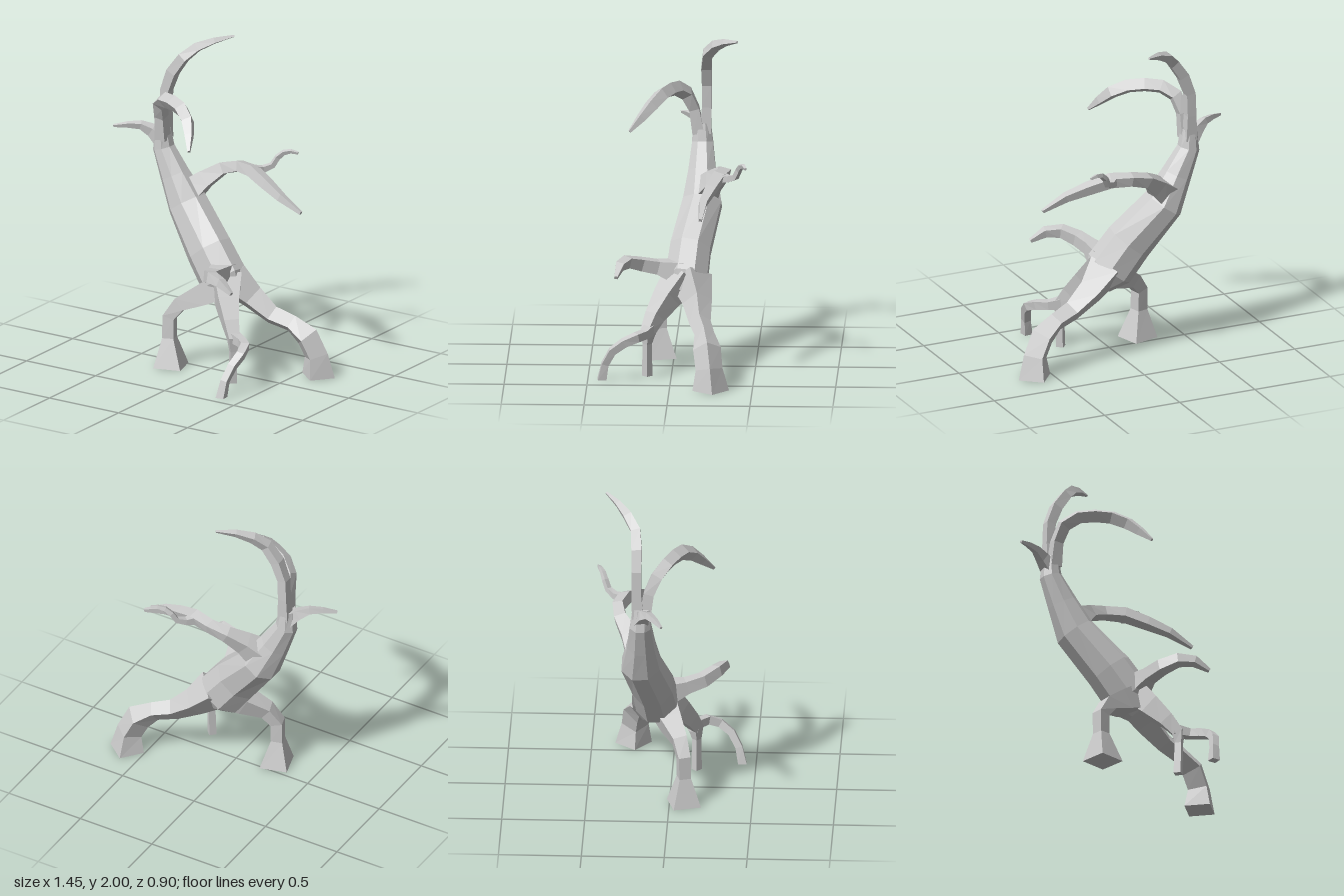
import * as THREE from 'three';

const material = new THREE.MeshStandardMaterial({ color: 0xcccccc, flatShading: true });

// Faceted limb: rows are [x, y, z, radius, depthRadius?]; the frame is carried along the path from ref.
function limb(name, rows, { sides = 4, phase = Math.PI / 4, ref = [0, 0, 1], scale = 1.2 } = {}) {
  const centres = rows.map(r => new THREE.Vector3(r[0], r[1], r[2]));
  const last = rows.length - 1;
  const positions = [], index = [];
  let u = new THREE.Vector3(...ref);
  rows.forEach((row, i) => {
    const t = centres[Math.min(i + 1, last)].clone().sub(centres[Math.max(i - 1, 0)]).normalize();
    if (row[1] === 0) t.set(0, -1, 0); // feet sit flat on the ground
    u = u.clone().addScaledVector(t, -u.dot(t)).normalize();
    const w = t.clone().cross(u);
    for (let j = 0; j < sides; j++) {
      const a = phase + (j / sides) * Math.PI * 2;
      const p = centres[i].clone()
        .addScaledVector(u, Math.cos(a) * (row[4] ?? row[3]) * scale)
        .addScaledVector(w, Math.sin(a) * row[3] * scale);
      positions.push(p.x, p.y, p.z);
    }
  });
  for (let i = 0; i < last; i++) {
    for (let j = 0; j < sides; j++) {
      const k = (j + 1) % sides;
      const a = i * sides + j, b = i * sides + k, c = b + sides, d = a + sides;
      index.push(a, b, c, a, c, d);
    }
  }
  // end caps
  const e = last * sides;
  for (let j = 1; j < sides - 1; j++) index.push(0, j + 1, j, e, e + j, e + j + 1);
  const geometry = new THREE.BufferGeometry();
  geometry.setAttribute('position', new THREE.Float32BufferAttribute(positions, 3));
  geometry.setIndex(index);
  const flat = geometry.toNonIndexed();
  flat.computeVertexNormals();
  const mesh = new THREE.Mesh(flat, material);
  mesh.name = name;
  return mesh;
}

export function createModel() {
  const tree = new THREE.Group();
  tree.name = 'bareTree';

  // leaning trunk
  tree.add(limb('trunk', [
    [0.11, 0.46, -0.07, 0.09, 0.07],
    [0.04, 0.55, -0.085, 0.15, 0.13],
    [-0.08, 0.71, -0.105, 0.145, 0.125],
    [-0.28, 0.95, -0.17, 0.12, 0.12],
    [-0.37, 1.12, -0.165, 0.09, 0.085],
    [-0.45, 1.28, -0.165, 0.065, 0.065],
    [-0.455, 1.4, -0.16, 0.045, 0.055],
  ], { sides: 8, phase: Math.PI / 8, scale: 1.05 }));

  // branches
  tree.add(limb('topBranch', [
    [-0.45, 1.34, -0.18, 0.042], [-0.45, 1.5, -0.19, 0.034], [-0.445, 1.64, -0.19, 0.034],
    [-0.40, 1.76, -0.19, 0.037], [-0.33, 1.86, -0.20, 0.034], [-0.265, 1.925, -0.25, 0.03],
    [-0.18, 1.965, -0.31, 0.02], [-0.085, 1.992, -0.385, 0.007],
  ]));
  tree.add(limb('archedBranch', [
    [-0.44, 1.34, -0.14, 0.042], [-0.435, 1.49, -0.115, 0.036], [-0.41, 1.59, -0.07, 0.04],
    [-0.34, 1.64, -0.015, 0.04], [-0.25, 1.65, 0.03, 0.04], [-0.16, 1.64, 0.075, 0.04],
    [-0.08, 1.595, 0.13, 0.037], [-0.03, 1.53, 0.19, 0.027], [0.015, 1.455, 0.26, 0.009],
  ]));
  tree.add(limb('shortBranch', [
    [-0.46, 1.33, -0.16, 0.05], [-0.52, 1.38, -0.14, 0.036], [-0.58, 1.41, -0.11, 0.024],
    [-0.65, 1.41, -0.07, 0.017], [-0.725, 1.4, -0.03, 0.008],
  ]));
  tree.add(limb('longBranch', [
    [-0.28, 1.02, -0.19, 0.085], [-0.2, 1.1, -0.24, 0.06], [-0.11, 1.17, -0.3, 0.042],
    [0, 1.2, -0.315, 0.037], [0.12, 1.2, -0.28, 0.04], [0.25, 1.155, -0.235, 0.036],
    [0.38, 1.105, -0.195, 0.027], [0.53, 1.035, -0.185, 0.011],
  ]));
  tree.add(limb('twig', [
    [0.1, 1.2, -0.28, 0.035], [0.15, 1.2, -0.345, 0.022], [0.19, 1.22, -0.385, 0.018],
    [0.215, 1.27, -0.405, 0.017], [0.25, 1.303, -0.42, 0.015], [0.29, 1.313, -0.437, 0.012],
    [0.333, 1.306, -0.45, 0.008],
  ], { ref: [1, 0, 0] }));
  tree.add(limb('lowBranch', [
    [0.065, 0.6, -0.04, 0.085], [0.085, 0.635, 0.09, 0.047], [0.12, 0.66, 0.19, 0.043],
    [0.19, 0.69, 0.27, 0.037], [0.28, 0.685, 0.31, 0.03], [0.37, 0.635, 0.33, 0.012],
  ], { ref: [0, 1, 0] }));

  // roots
  tree.add(limb('rightRoot', [
    [0.05, 0.52, -0.05, 0.09], [-0.06, 0.46, 0.0, 0.075], [-0.18, 0.395, 0.06, 0.05],
    [-0.24, 0.31, 0.085, 0.043], [-0.24, 0.18, 0.088, 0.042], [-0.23, 0, 0.088, 0.1],
  ]));
  tree.add(limb('backRoot', [
    [0.08, 0.56, -0.11, 0.11], [0.2, 0.45, -0.155, 0.075], [0.33, 0.355, -0.175, 0.055],
    [0.45, 0.315, -0.205, 0.05], [0.55, 0.245, -0.225, 0.07], [0.605, 0.13, -0.24, 0.068],
    [0.615, 0, -0.25, 0.092],
  ], { phase: 0 }));
  tree.add(limb('frontRoot', [
    [0.07, 0.57, -0.06, 0.1], [0.14, 0.46, 0.03, 0.075], [0.21, 0.36, 0.1, 0.053],
    [0.26, 0.275, 0.14, 0.04], [0.26, 0.2, 0.145, 0.024], [0.255, 0, 0.145, 0.026],
  ], { ref: [1, 0, -1] }));
  tree.add(limb('frontRootFork', [
    [0.24, 0.29, 0.125, 0.04], [0.33, 0.275, 0.16, 0.03], [0.385, 0.27, 0.205, 0.03],
    [0.405, 0.24, 0.28, 0.028], [0.39, 0.185, 0.35, 0.026], [0.368, 0.1, 0.395, 0.025],
    [0.355, 0, 0.415, 0.031],
  ], { ref: [0, 1, 0] }));

  return tree;
}
